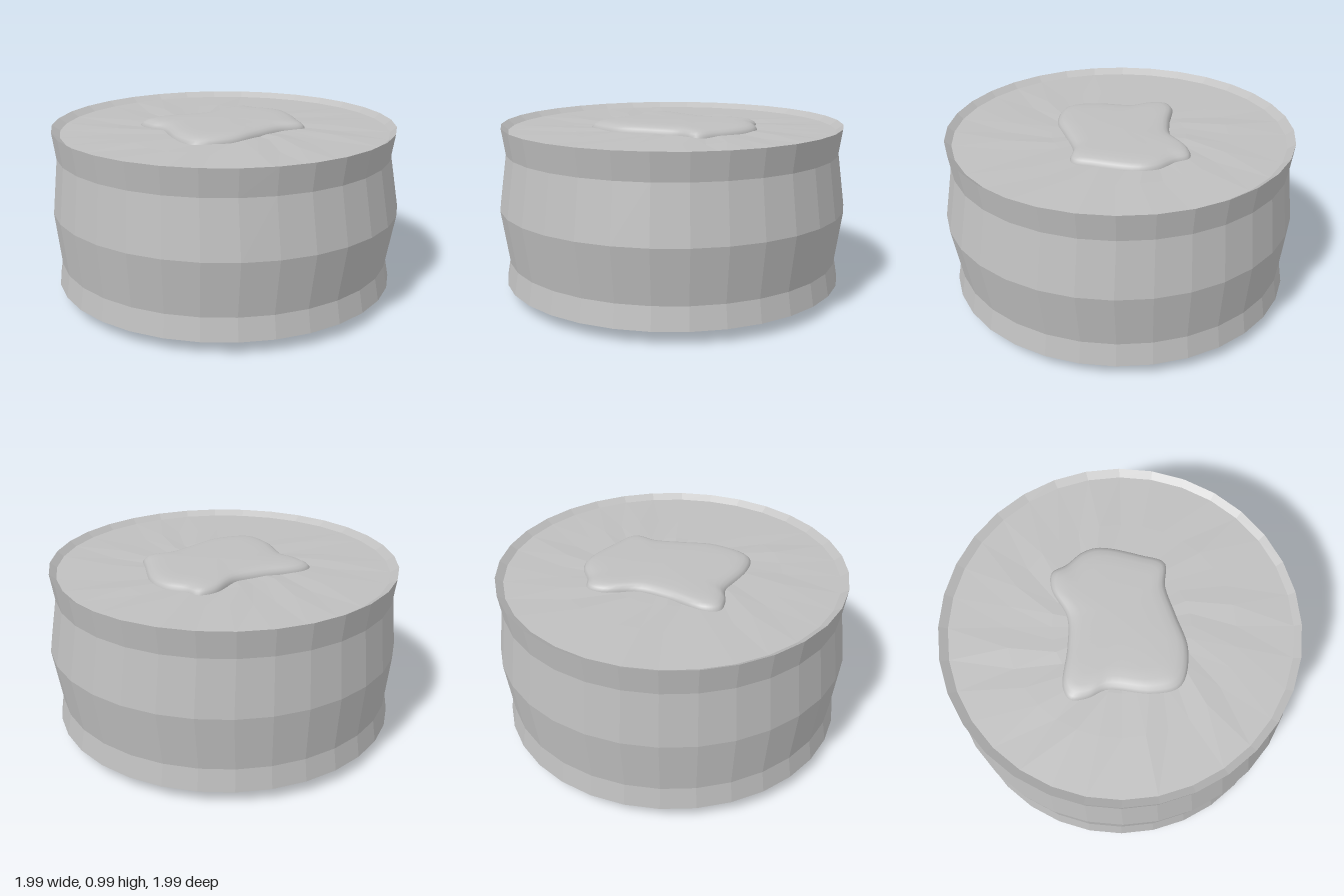
import * as THREE from 'three';

const SIDES = 32;
const grey = new THREE.MeshStandardMaterial({ color: 0xbfbfbf });
grey.name = 'grey';

// Skins a stack of closed rings, running bottom to top on the outside.
function loft(name, rings, flat) {
  const n = rings[0].length;
  const index = [];
  for (let i = 0; i < rings.length - 1; i++) {
    for (let j = 0; j < n; j++) {
      const k = (j + 1) % n;
      const a = i * n + j, b = i * n + k;
      index.push(a, b, b + n, a, b + n, a + n);
    }
  }
  let geo = new THREE.BufferGeometry().setFromPoints(rings.flat());
  geo.setIndex(index);
  if (flat) geo = geo.toNonIndexed();
  geo.computeVertexNormals();
  const mesh = new THREE.Mesh(geo, grey);
  mesh.name = name;
  return mesh;
}

// Round ring with an optional small ripple in height.
function circle(r, y, cx = 0, ripple = 0) {
  return Array.from({ length: SIDES }, (_, j) => {
    const t = (j / SIDES) * Math.PI * 2;
    const dy = ripple * Math.sin(j * 2.4 + r * 9);
    return new THREE.Vector3(cx + r * Math.sin(t), y + dy, r * Math.cos(t));
  });
}

// Soft irregular pad: a smooth outline scaled along a [scale, height] profile.
function pad(name, outline, profile, cx, cz) {
  const curve = new THREE.CatmullRomCurve3(
    outline.map(([x, z]) => new THREE.Vector3(x, 0, z)), true);
  const pts = curve.getPoints(96).slice(0, 96);
  const rings = profile.map(([s, y]) =>
    pts.map((p) => new THREE.Vector3(cx + (p.x - cx) * s, y, cz + (p.z - cz) * s)));
  return loft(name, rings, false);
}

export function createModel() {
  const group = new THREE.Group();
  group.name = 'drum';

  // Faceted wall: flared rims, pinched waists and a bulging middle
  group.add(loft('wall', [
    circle(0.977, 0.075, -0.01), circle(0.955, 0.2, -0.012), circle(0.997, 0.51),
    circle(0.955, 0.82, -0.012), circle(0.977, 0.972, -0.01),
  ], true));

  // Recessed end plates with a sloping inner rim
  group.add(loft('topPlate', [
    circle(0.977, 0.972, -0.01), circle(0.935, 0.942, -0.005),
    circle(0.62, 0.946, 0, 0.004), circle(0.38, 0.948, 0, 0.003), circle(0, 0.948),
  ], true));
  group.add(loft('bottomPlate', [
    circle(0, 0.1), circle(0.38, 0.1, 0, 0.003), circle(0.62, 0.102, 0, 0.004),
    circle(0.935, 0.106, -0.005), circle(0.977, 0.075, -0.01),
  ], true));

  // Raised pad on the top
  group.add(pad('topPad', [
    [0.07, 0.455], [0.22, 0.31], [0.28, 0.11], [0.33, -0.06], [0.41, -0.18], [0.33, -0.29],
    [0.165, -0.46], [0.07, -0.49], [-0.05, -0.475], [-0.14, -0.48], [-0.195, -0.4],
    [-0.215, -0.21], [-0.31, -0.06], [-0.45, 0.11], [-0.455, 0.19], [-0.375, 0.235],
    [-0.265, 0.255], [-0.075, 0.41],
  ], [
    [1, 0.93], [1, 0.95], [0.97, 0.967], [0.92, 0.979], [0.84, 0.986],
    [0.7, 0.99], [0.4, 0.992], [0, 0.993],
  ], 0, -0.05));

  // Deeper pad underneath
  group.add(pad('bottomPad', [
    [0, 0.42], [0.28, 0.42], [0.38, 0.33], [0.415, -0.04], [0.41, -0.26], [0.3, -0.39],
    [0.15, -0.4], [-0.03, -0.42], [-0.14, -0.46], [-0.24, -0.38], [-0.33, -0.11],
    [-0.52, 0.33], [-0.4, 0.41],
  ], [
    [0, 0], [0.4, 0.002], [0.65, 0.006], [0.82, 0.013], [0.92, 0.023],
    [0.98, 0.038], [1, 0.058], [1, 0.085], [0.98, 0.12],
  ], -0.03, 0.02));

  return group;
}
